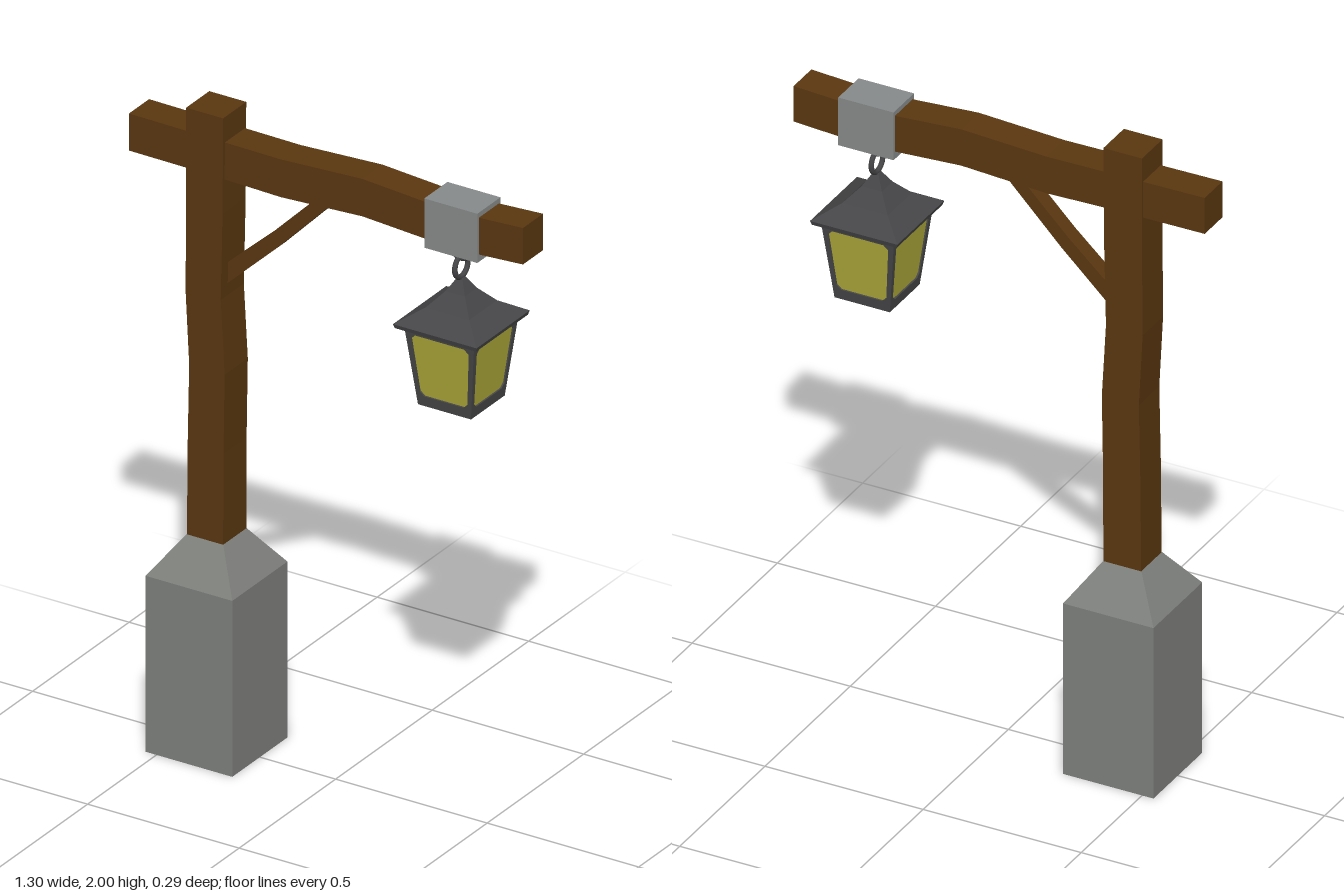
import * as THREE from 'three';

const material = (name, color) => {
  const m = new THREE.MeshStandardMaterial({ color });
  m.name = name;
  return m;
};

// Joins four-cornered cross-sections into a closed, hard-edged solid.
function loft(rings) {
  const pos = [];
  const quad = (a, b, c, d) => pos.push(...a, ...b, ...c, ...a, ...c, ...d);
  for (let r = 0; r < rings.length - 1; r++) {
    const lo = rings[r], hi = rings[r + 1];
    for (let i = 0; i < 4; i++) {
      const j = (i + 1) % 4;
      quad(lo[i], lo[j], hi[j], hi[i]);
    }
  }
  const first = rings[0], last = rings[rings.length - 1];
  quad(first[3], first[2], first[1], first[0]);
  quad(...last);
  const g = new THREE.BufferGeometry();
  g.setAttribute('position', new THREE.Float32BufferAttribute(pos, 3));
  g.computeVertexNormals();
  return g;
}

// Level section: height, left and right edges, half depth.
const level = (y, x0, x1, d) => [[x0, y, d], [x1, y, d], [x1, y, -d], [x0, y, -d]];
// Upright section: lower and upper point, half depth.
const upright = (x0, y0, x1, y1, d) => [[x0, y0, d], [x0, y0, -d], [x1, y1, -d], [x1, y1, d]];

export function createModel() {
  const wood = material('wood', 0x5a3710);
  const stone = material('stone', 0x7e807c);
  const steel = material('steel', 0x878a8a);
  const iron = material('iron', 0x464648);
  const glass = material('glass', 0xaea83a);

  const model = new THREE.Group();
  model.name = 'lanternPost';
  const add = (parent, name, geometry, mat, x = 0, y = 0, z = 0) => {
    const mesh = new THREE.Mesh(geometry, mat);
    mesh.name = name;
    mesh.position.set(x, y, z);
    parent.add(mesh);
    return mesh;
  };

  // Stone foot with a tapered shoulder
  const square = ([y, h]) => level(y, -h, h, h);
  add(model, 'stoneBase', loft([[0, 0.143], [0.55, 0.143], [0.667, 0.061]].map(square)), stone, -0.393);

  // Slightly crooked post
  add(model, 'post', loft([
    [0.6, -0.453, -0.333], [0.95, -0.45, -0.332], [1.2, -0.445, -0.328],
    [1.43, -0.457, -0.341], [1.7, -0.455, -0.335], [2, -0.455, -0.333],
  ].map(([y, a, b]) => level(y, a, b, 0.06))), wood);

  // Wavy cross beam
  add(model, 'beam', loft([
    [-0.65, 1.808, 1.924], [-0.39, 1.806, 1.921], [-0.15, 1.8, 1.918], [0.12, 1.814, 1.931],
    [0.36, 1.799, 1.914], [0.5, 1.8, 1.915], [0.65, 1.809, 1.923],
  ].map(([x, a, b]) => upright(x, a, x, b, 0.052))), wood, 0, 0, -0.002);

  // Diagonal brace
  add(model, 'brace', loft([
    [-0.36, 1.45, -0.36, 1.515], [-0.18, 1.62, -0.2, 1.66], [0.01, 1.815, -0.045, 1.815],
  ].map((s) => upright(...s, 0.025))), wood);

  // Metal sleeve around the beam
  add(model, 'sleeve', new THREE.BoxGeometry(0.175, 0.154, 0.12), steel, 0.417, 1.854, -0.002);

  // Lantern, hung on two linked rings
  const lantern = new THREE.Group();
  lantern.name = 'lantern';
  lantern.position.x = 0.415;
  model.add(lantern);
  const hook = add(lantern, 'hook', new THREE.TorusGeometry(0.034, 0.008, 8, 16, Math.PI), iron, 0, 1.777);
  hook.rotation.z = Math.PI;
  const ring = add(lantern, 'ring', new THREE.TorusGeometry(0.034, 0.008, 8, 24), iron, 0, 1.72);
  ring.rotation.y = Math.PI / 2;

  // Flared roof
  add(lantern, 'roof', loft([
    [1.545, 0.134], [1.558, 0.138], [1.6, 0.072], [1.645, 0.032], [1.685, 0.008],
  ].map(square)), iron);
  add(lantern, 'floor', loft([[1.3, 0.0875], [1.33, 0.0905]].map(square)), iron);

  // Four leaning frames with glass set behind the openings
  const opening = (grow) => {
    const b = 0.079 + grow, t = 0.095 + grow, y0 = 0.032 - grow, y1 = 0.229 + grow, c = 0.014;
    return [
      [c - b, y0], [b - c, y0], [b, y0 + c], [t, y1 - c],
      [t - c, y1], [c - t, y1], [-t, y1 - c], [-b, y0 + c],
    ].map(([x, y]) => new THREE.Vector2(x, y));
  };
  const frameShape = new THREE.Shape(
    [[-0.0875, 0], [0.0875, 0], [0.115, 0.2465], [-0.115, 0.2465]].map(([x, y]) => new THREE.Vector2(x, y)),
  );
  frameShape.holes.push(new THREE.Path(opening(0)));
  const frameGeo = new THREE.ExtrudeGeometry(frameShape, { depth: 0.008, bevelEnabled: false });
  const paneGeo = new THREE.ExtrudeGeometry(new THREE.Shape(opening(0.002)), { depth: 0.003, bevelEnabled: false });
  for (let i = 0; i < 4; i++) {
    const side = new THREE.Group();
    side.name = 'lanternSide';
    side.rotation.y = (i * Math.PI) / 2;
    lantern.add(side);
    const panel = new THREE.Group();
    panel.name = 'panel';
    panel.position.set(0, 1.3, 0.0875);
    panel.rotation.x = 0.112;
    side.add(panel);
    add(panel, 'frame', frameGeo, iron, 0, 0, -0.008);
    add(panel, 'pane', paneGeo, glass, 0, 0, -0.008);
  }
  return model;
}
